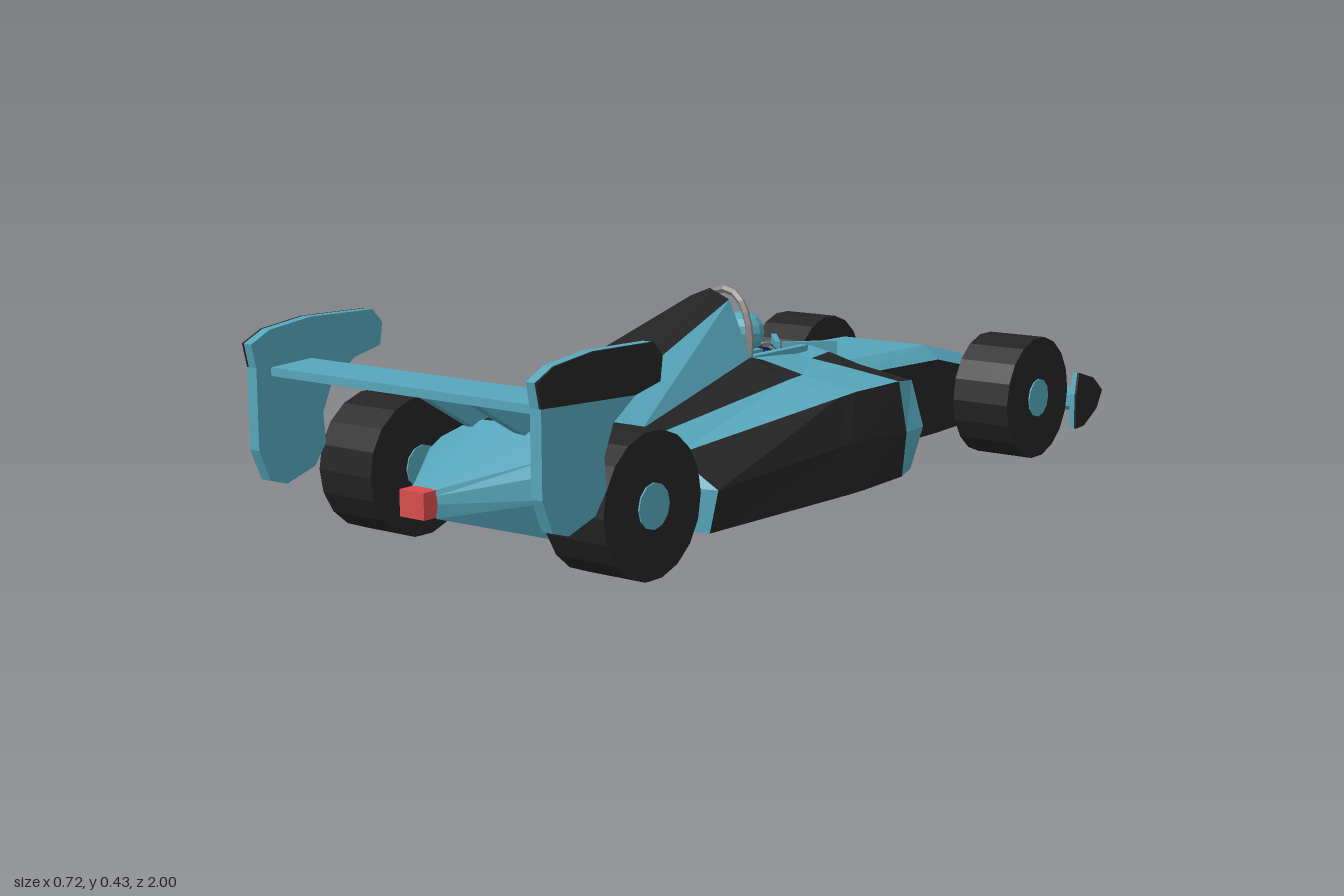
import * as THREE from 'three';

const paint = (name, color) => {
  const m = new THREE.MeshStandardMaterial({ color, flatShading: true });
  m.name = name;
  return m;
};

export function createModel() {
  const teal = paint('teal', 0x55a5ba), black = paint('black', 0x242424);
  const red = paint('red', 0xd84c4c), blue = paint('blue', 0x1248dc), grey = paint('grey', 0x8c8682);
  const car = new THREE.Group();
  car.name = 'racingCar';

  const add = (name, geo, mat, x = 0, y = 0, z = 0) => {
    const m = new THREE.Mesh(geo, mat);
    m.name = name;
    m.position.set(x, y, z);
    car.add(m);
    return m;
  };
  const box = (name, mat, w, h, d, x, y, z) => add(name, new THREE.BoxGeometry(w, h, d), mat, x, y, z);

  // Skin mirrored half sections (bottom to top, rear-going); colour(row, col) picks the paint
  const loft = (name, rows, colour) => {
    const bins = new Map();
    const tri = (mat, ...pts) => {
      if (!bins.has(mat)) bins.set(mat, []);
      const out = bins.get(mat);
      pts.forEach(p => out.push(...p));
      [pts[0], pts[2], pts[1]].forEach(p => out.push(-p[0], p[1], p[2]));
    };
    for (let r = 0; r < rows.length - 1; r++) {
      for (let c = 0; c < rows[0].length - 1; c++) {
        const mat = colour(r, c);
        if (!mat) continue;
        const a = rows[r][c], b = rows[r][c + 1], d = rows[r + 1][c], e = rows[r + 1][c + 1];
        tri(mat, a, b, d);
        tri(mat, b, e, d);
      }
    }
    bins.forEach((pos, mat) => {
      const g = new THREE.BufferGeometry();
      g.setAttribute('position', new THREE.Float32BufferAttribute(pos, 3));
      g.computeVertexNormals();
      add(name + ' ' + mat.name, g, mat);
    });
  };

  // Outline in [z, y], extruded along x and centred on x
  const plate = (name, mat, pts, x, t) => {
    const g = new THREE.ExtrudeGeometry(new THREE.Shape(pts.map(p => new THREE.Vector2(...p))),
      { depth: t, bevelEnabled: false });
    g.translate(0, 0, -t / 2).rotateY(-Math.PI / 2);
    return add(name, g, mat, x);
  };

  // Nose: z, half width, bottom, shoulder, top half width, top
  const nose = [
    [-1, 0.006, 0.065, 0.075, 0.004, 0.08],
    [-0.9, 0.08, 0.05, 0.11, 0.055, 0.135],
    [-0.77, 0.135, 0.047, 0.175, 0.1, 0.205],
    [-0.6, 0.145, 0.046, 0.215, 0.11, 0.245],
    [-0.25, 0.148, 0.046, 0.225, 0.11, 0.252],
  ].map(([z, w, b, s, t, y]) => [[0, b, z], [w, b, z], [w, s, z], [t, y, z], [0, y, z]]);
  loft('nose', nose, (r, c) => (c === 3 && r < 2) || (c === 1 && r > 1) ? black : teal);

  // Sidepods and tail: z, floor half width, side half width and height, edge half width and height
  const floorY = 0.046;
  const hull = [
    [-0.27, 0.15, 0.16, 0.14, 0.15, 0.22],
    [-0.23, 0.31, 0.34, 0.14, 0.31, 0.235],
    [-0.15, 0.34, 0.35, 0.14, 0.33, 0.245],
    [0.01, 0.35, 0.352, 0.15, 0.33, 0.245],
    [0.06, 0.35, 0.352, 0.15, 0.325, 0.24],
    [0.49, 0.33, 0.35, 0.13, 0.25, 0.185],
    [0.53, 0.17, 0.195, 0.13, 0.195, 0.195],
    [0.7, 0.15, 0.19, 0.13, 0.18, 0.18],
    [0.9, 0.03, 0.035, 0.135, 0.032, 0.15],
  ].map(([z, w, sw, sy, ew, ey]) => {
    const b = z > 0.8 ? 0.108 : floorY;
    return [[0, b, z], [w, b, z], [sw, sy, z], [ew, ey, z]];
  });
  // Cowl above each hull section: shoulder, flank and crest (half width, height), then ridge height
  const cowl = [
    [0.13, 0.25, 0.1, 0.255, 0.04, 0.258, 0.258],
    [0.18, 0.255, 0.1, 0.275, 0.05, 0.285, 0.285],
    [0.2, 0.262, 0.11, 0.272, 0.06, 0.28, 0.28],
    [0.2, 0.267, 0.1, 0.288, 0.06, 0.29, 0.29],
    [0.2, 0.263, 0.105, 0.3, 0.05, 0.415, 0.435],
    [0.19, 0.212, 0.17, 0.225, 0.095, 0.275, 0.304],
    [0.185, 0.21, 0.165, 0.223, 0.088, 0.268, 0.293],
    [0.15, 0.205, 0.1, 0.23, 0.04, 0.25, 0.252],
    [0.028, 0.16, 0.02, 0.162, 0.01, 0.162, 0.162],
  ];
  const body = hull.map((half, i) => {
    const z = half[0][2], [sw, sy, fw, fy, cw, cy, ry] = cowl[i];
    return [...half, [sw, sy, z], [fw, fy, z], [cw, cy, z], [0, ry, z]];
  });
  loft('body', body, (r, c) => {
    if (c === 6 && r > 0 && r < 3) return null; // cockpit opening
    const side = (c === 1 || c === 2) && r > 1 && r < 5;
    const podPatch = (c === 3 || c === 4) && r === 1;
    const coverStripe = c === 4 && r > 2 && r < 5;
    const spine = c === 6 && r > 2 && r < 7;
    return side || podPatch || coverStripe || spine ? black : teal;
  });

  // Cockpit lining
  box('cockpitFloor', black, 0.12, 0.01, 0.26, 0, 0.2, -0.12);
  box('cockpitBack', blue, 0.12, 0.085, 0.01, 0, 0.24, 0.005);
  box('cockpitFront', black, 0.1, 0.07, 0.01, 0, 0.235, -0.235);
  for (const s of [-1, 1]) {
    box('cockpitWall', blue, 0.014, 0.075, 0.25, s * 0.054, 0.238, -0.115);
    box('cockpitRim', teal, 0.02, 0.014, 0.2, s * 0.062, 0.285, -0.09);
    const screen = box('windscreen', teal, 0.012, 0.03, 0.12, s * 0.045, 0.277, -0.235);
    screen.rotation.y = -s * 0.7;
  }

  // Driver
  add('helmet', new THREE.SphereGeometry(0.045, 10, 8), teal, 0, 0.33, -0.055);
  box('driverBody', teal, 0.075, 0.09, 0.06, 0, 0.25, -0.045);
  box('driverLegs', teal, 0.045, 0.03, 0.12, 0, 0.22, -0.13);
  const steering = add('steeringWheel', new THREE.TorusGeometry(0.026, 0.006, 5, 10), black, 0, 0.265, -0.15);
  steering.rotation.x = 0.4;

  // Roll hoop behind the driver
  const hoopPath = new THREE.CatmullRomCurve3(
    [[-0.065, 0.28], [-0.062, 0.36], [-0.035, 0.415], [0, 0.428], [0.035, 0.415], [0.062, 0.36], [0.065, 0.28]]
      .map(([x, y]) => new THREE.Vector3(x, y, 0.01)));
  add('rollHoop', new THREE.TubeGeometry(hoopPath, 14, 0.008, 5), grey);

  // Wheels
  for (const s of [-1, 1]) for (const z of [-0.69, 0.685]) {
    add('tyre', new THREE.CylinderGeometry(0.137, 0.137, 0.138, 18).rotateZ(Math.PI / 2), black, s * 0.285, 0.137, z);
    add('hub', new THREE.CylinderGeometry(0.043, 0.043, 0.144, 12).rotateZ(Math.PI / 2), teal, s * 0.285, 0.137, z);
  }

  // Rear wing
  plate('rearWing', teal, [[0.81, 0.343], [0.83, 0.328], [0.95, 0.336], [0.95, 0.352], [0.85, 0.357]], 0, 0.68);
  const endUpper = [[0.985, 0.355], [0.995, 0.4], [0.95, 0.422], [0.85, 0.435], [0.69, 0.432], [0.665, 0.405],
    [0.672, 0.36], [0.74, 0.345]];
  const endLower = [[0.74, 0.345], [0.8, 0.305], [0.825, 0.25], [0.82, 0.19], [0.85, 0.15], [0.92, 0.128],
    [0.96, 0.14], [0.985, 0.2], [0.985, 0.355]];
  for (const s of [-1, 1]) {
    plate('rearEndplateUpper', teal, endUpper, s * 0.346, 0.02);
    plate('rearEndplatePaint', black, endUpper, s * 0.3585, 0.005);
    plate('rearEndplateLower', teal, endLower, s * 0.348, 0.025);
    plate('wingPylon', teal, [[0.62, 0.235], [0.71, 0.235], [0.88, 0.335], [0.82, 0.345]], s * 0.062, 0.022);
  }

  // Front wing
  plate('frontWing', teal, [[-0.935, 0.085], [-0.9, 0.075], [-0.865, 0.09], [-0.865, 0.105]], 0, 0.7);
  const endFront = [[-0.86, 0.04], [-0.9, 0.042], [-0.96, 0.075], [-0.985, 0.115], [-0.94, 0.15], [-0.87, 0.17], [-0.86, 0.12]];
  for (const s of [-1, 1]) {
    const flap = new THREE.Shape([[0.15, 0.87], [0.35, 0.87], [0.35, 0.98], [0.165, 0.975]]
      .map(([x, z]) => new THREE.Vector2(s * x, z)));
    const g = new THREE.ExtrudeGeometry(flap, { depth: 0.015, bevelEnabled: false });
    add('frontFlap', g.rotateX(-Math.PI / 2), teal, 0, 0.1, 0);
    plate('frontEndplate', teal, endFront, s * 0.35, 0.012);
    plate('frontEndplatePaint', black, endFront, s * 0.3585, 0.005);
  }

  // Tail light
  box('tailLight', red, 0.06, 0.05, 0.05, 0, 0.135, 0.905);

  return car;
}
